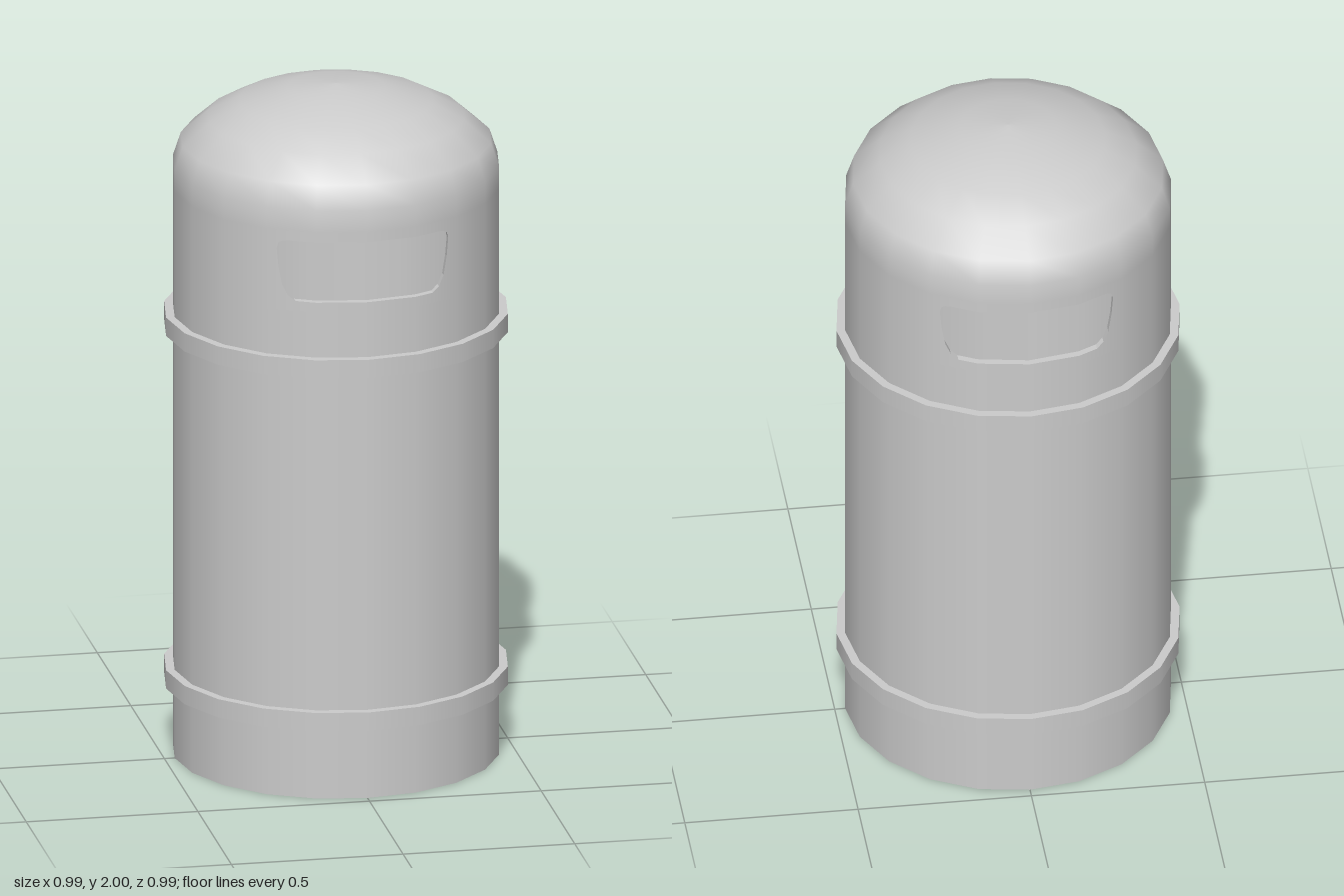
import * as THREE from 'three';
import { mergeGeometries } from 'three/addons/utils/BufferGeometryUtils.js';

const SIDES = 20, STEP = (Math.PI * 2) / SIDES;
const OUTER = 0.47, INNER = 0.45;
const CUT_LOW = 1.46, CUT_HIGH = 1.7; // height range holding the openings

// Each profile is turned on its own, so edges between profiles stay sharp
function turn(profiles, start = 0, sides = SIDES) {
  return mergeGeometries(profiles.map((profile) => new THREE.LatheGeometry(
    profile.map(([r, y]) => new THREE.Vector2(r, y)), sides, start * STEP, sides * STEP)));
}

// Point on the faceted wall of radius r at a given x, front half
function onWall(x, y, r) {
  const i = Math.min(Math.floor(Math.asin(Math.min(Math.abs(x) / r, 1)) / STEP + 1e-6), 4);
  const x0 = r * Math.sin(i * STEP), x1 = r * Math.sin((i + 1) * STEP);
  const z0 = r * Math.cos(i * STEP), z1 = r * Math.cos((i + 1) * STEP);
  return new THREE.Vector3(x, y, z0 + (z1 - z0) * (Math.abs(x) - x0) / (x1 - x0));
}

// Wall section four facets wide with a rounded slot, built column by column
function slottedPanel() {
  const edge = Math.sin(2 * STEP);
  // x, slot bottom, slot top
  const half = [
    [OUTER * Math.sin(STEP), 1.49, 1.67], [0.2, 1.49, 1.67], [0.22, 1.505, 1.67],
    [0.235, 1.535, 1.668], [0.245, 1.59, 1.662], [0.25, 1.645, 1.645], [OUTER * edge, 1.645, 1.645],
  ];
  const columns = [...half.map(([x, b, t]) => [-x, b, t]).reverse(), [0, 1.49, 1.67], ...half];
  const positions = [], normals = [];

  // Corners run counter-clockwise; facing 1 or -1 gives round normals, 0 a flat one
  const quad = (a, b, c, d, facing) => {
    const flat = c.clone().sub(a).cross(d.clone().sub(b)).normalize();
    for (const p of [a, b, c, a, c, d]) {
      const n = facing ? new THREE.Vector3(p.x, 0, p.z).normalize().multiplyScalar(facing) : flat;
      positions.push(...p.toArray());
      normals.push(...n.toArray());
    }
  };

  for (let i = 0; i < columns.length - 1; i++) {
    const [l, r] = [columns[i], columns[i + 1]];
    const out = ([x], y) => onWall(x, y, OUTER);
    const inn = ([x], y) => onWall(Math.sign(x) * Math.min(Math.abs(x), INNER * edge), y, INNER);
    // Strips below and above the slot, outside and inside
    for (const [l0, l1, r0, r1] of [[CUT_LOW, l[1], CUT_LOW, r[1]], [l[2], CUT_HIGH, r[2], CUT_HIGH]]) {
      quad(out(l, l0), out(r, r0), out(r, r1), out(l, l1), 1);
      quad(inn(r, r0), inn(l, l0), inn(l, l1), inn(r, r1), -1);
    }
    // Cut edges of the slot
    if (l[1] < l[2] || r[1] < r[2]) {
      quad(out(l, l[1]), out(r, r[1]), inn(r, r[1]), inn(l, l[1]), 0);
      quad(inn(l, l[2]), inn(r, r[2]), out(r, r[2]), out(l, l[2]), 0);
    }
  }
  const geometry = new THREE.BufferGeometry();
  geometry.setAttribute('position', new THREE.Float32BufferAttribute(positions, 3));
  geometry.setAttribute('normal', new THREE.Float32BufferAttribute(normals, 3));
  return geometry;
}

export function createModel() {
  const model = new THREE.Group();
  const material = new THREE.MeshStandardMaterial({ color: 0xcccccc });
  const add = (name, geometry, turnY = 0) => {
    const mesh = new THREE.Mesh(geometry, material);
    mesh.name = name;
    mesh.rotation.y = turnY;
    model.add(mesh);
  };

  // Hollow body, open underneath
  add('body', turn([
    [[OUTER, 0], [OUTER, CUT_LOW]],
    [[INNER, CUT_LOW], [INNER, 0]],
    [[INNER, 0], [OUTER, 0]],
  ]));

  // Wall around the two openings
  ['front', 'back'].forEach((side, i) => add(side + 'Opening', slottedPanel(), i * Math.PI));
  ['left', 'right'].forEach((side, i) => add(side + 'UpperWall', turn([
    [[OUTER, CUT_LOW], [OUTER, CUT_HIGH]],
    [[INNER, CUT_HIGH], [INNER, CUT_LOW]],
  ], 2 + i * 10, 6)));

  // Domed lid with its inner skin
  add('dome', turn([
    [[OUTER, CUT_HIGH], [OUTER, 1.765], [0.447, 1.835], [0.37, 1.903], [0.28, 1.95], [0.14, 1.99], [0, 2]],
    [[0, 1.98], [0.135, 1.97], [0.27, 1.932], [0.355, 1.887], [0.429, 1.826], [INNER, 1.762], [INNER, CUT_HIGH]],
  ]));

  // Raised bands
  const bandRadius = 0.495;
  for (const [name, low, high] of [['lowerBand', 0.21, 0.265], ['upperBand', 1.27, 1.325]]) {
    add(name, turn([
      [[OUTER, low], [bandRadius, low]],
      [[bandRadius, low], [bandRadius, high]],
      [[bandRadius, high], [OUTER, high]],
    ]));
  }
  return model;
}
